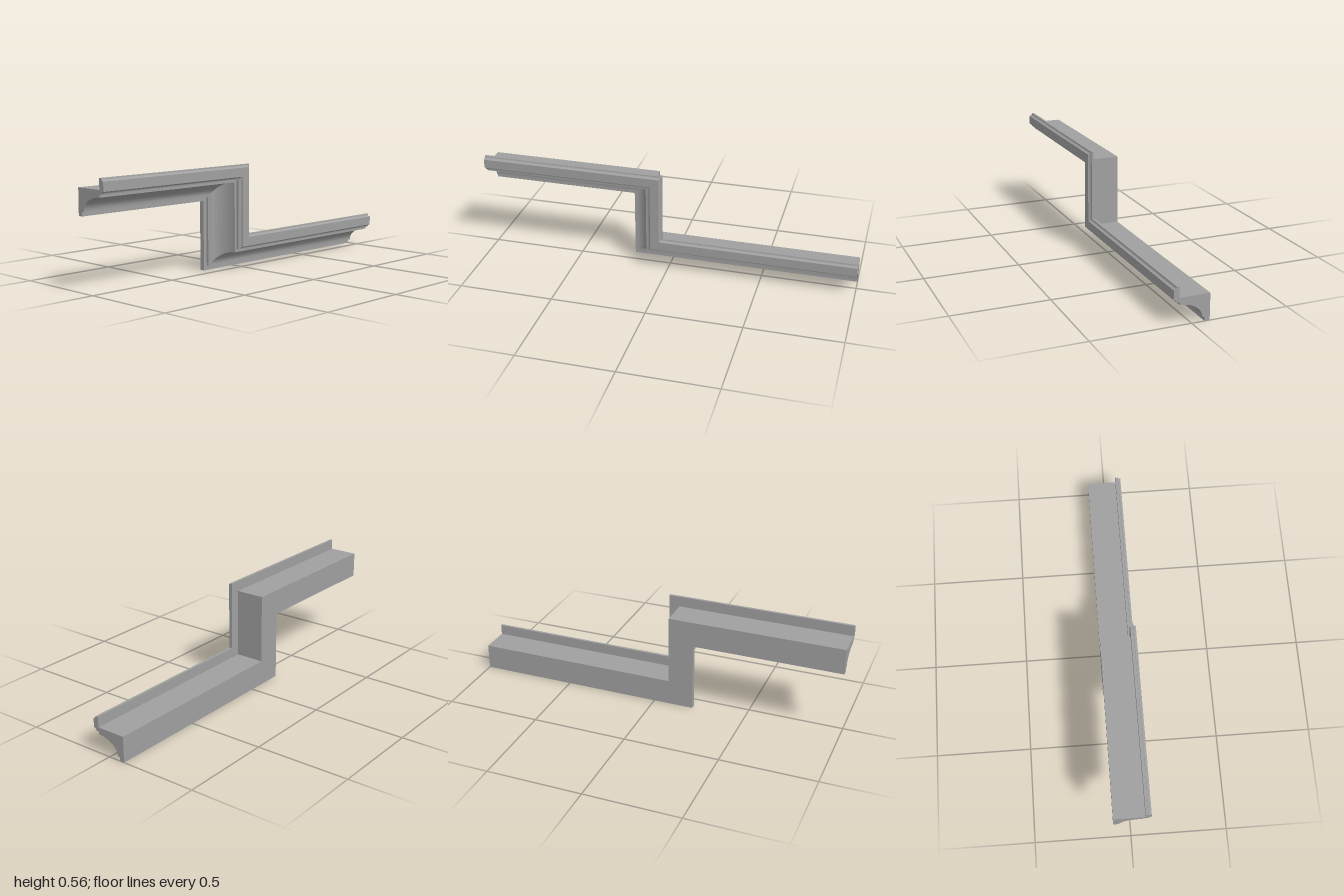
import * as THREE from 'three';
import { toCreasedNormals } from 'three/addons/utils/BufferGeometryUtils.js';

// Points of a quarter ellipse between two angles given in quarter turns
function arc(cz, cd, rz, rd, from, to, steps) {
  return Array.from({ length: steps + 1 }, (_, i) => {
    const a = (from + (to - from) * i / steps) * Math.PI / 2;
    return new THREE.Vector2(cz + rz * Math.cos(a), cd + rd * Math.sin(a));
  });
}

// Cross-section: x = depth (z), y = distance from the lower edge
function mouldingProfile() {
  const p = (z, d) => new THREE.Vector2(z, d);
  return [
    p(-0.092, 0), p(-0.066, 0), p(-0.066, 0.021),
    ...arc(0.063, 0.021, 0.117, 0.078, 2, 1, 16), // large cove
    p(0.063, 0.113),
    ...arc(0.093, 0.113, 0.015, 0.015, 2, 1, 6), // lower small cove
    ...arc(0.093, 0.19, 0.015, 0.015, 3, 2, 6), // upper small cove
    p(0.064, 0.19), p(0.064, 0.135), p(-0.092, 0.135),
  ];
}

// Sweep the profile along the stepped path with mitred corners
function sweepStepped(profile) {
  const n = profile.length, stepX = -0.215, rise = 0.366;
  const stations = [
    d => [1, d],
    d => [stepX + d, d],
    d => [stepX + d, rise + d],
    d => [-1, rise + d],
  ];
  const positions = [], index = [];
  for (const at of stations) {
    for (const q of profile) positions.push(...at(q.y), q.x);
  }
  for (let s = 0; s < stations.length - 1; s++) {
    for (let j = 0; j < n; j++) {
      const k = (j + 1) % n;
      const a = s * n + j, b = s * n + k, c = b + n, d = a + n;
      index.push(a, b, c, a, c, d);
    }
  }
  // End caps
  const last = (stations.length - 1) * n;
  for (const [a, b, c] of THREE.ShapeUtils.triangulateShape(profile, [])) {
    index.push(c, b, a, last + a, last + b, last + c);
  }
  const geometry = new THREE.BufferGeometry();
  geometry.setAttribute('position', new THREE.Float32BufferAttribute(positions, 3));
  geometry.setIndex(index);
  return toCreasedNormals(geometry, 0.5);
}

export function createModel() {
  const group = new THREE.Group();
  group.name = 'steppedMoulding';
  const grey = new THREE.MeshStandardMaterial({ color: 0xa0a0a0 });
  grey.name = 'grey';
  const moulding = new THREE.Mesh(sweepStepped(mouldingProfile()), grey);
  moulding.name = 'moulding';
  group.add(moulding);
  return group;
}
